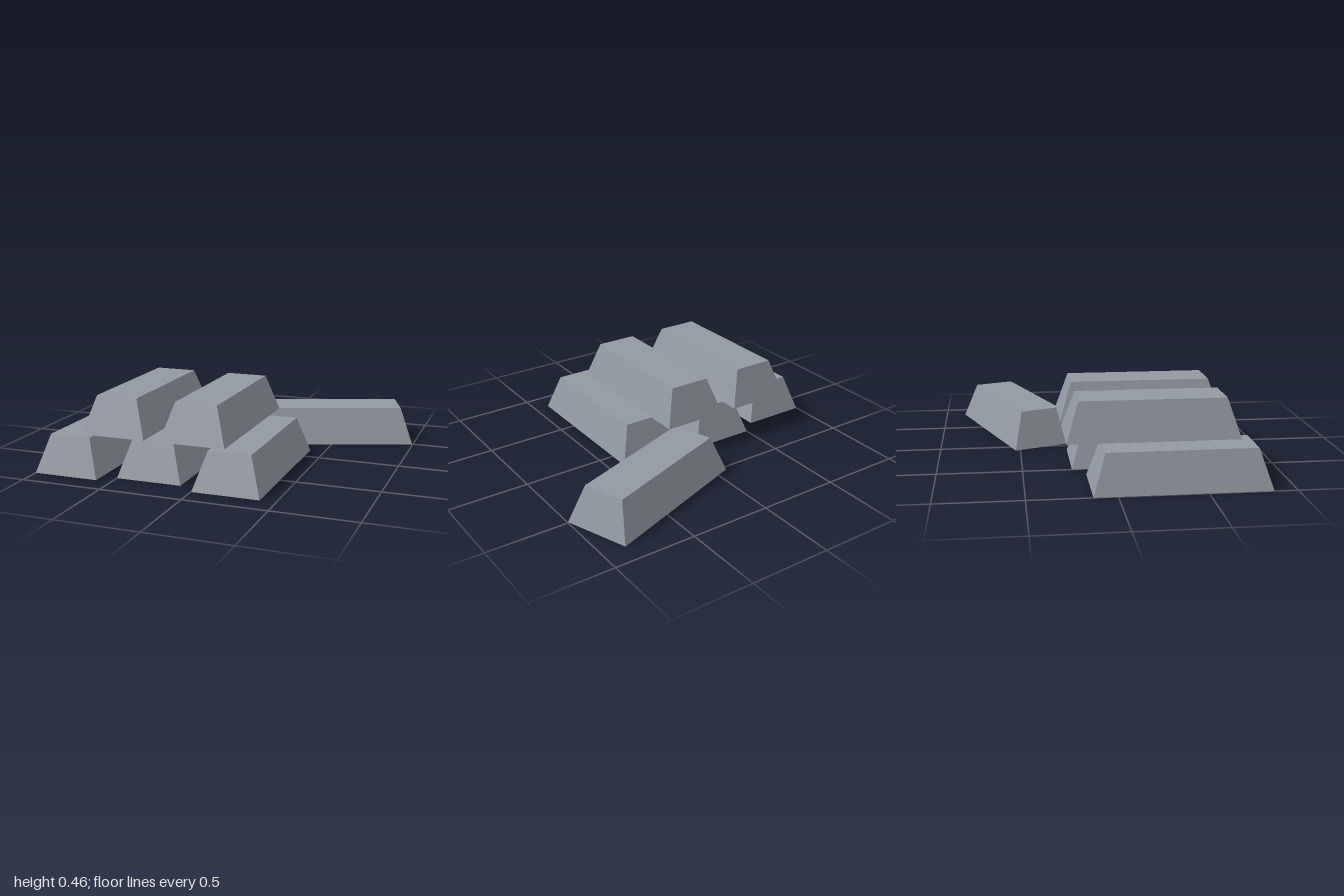
import * as THREE from 'three';

const WIDTH = 0.403, LENGTH = 1.0, HEIGHT = 0.228, INSET = 0.073;

// Tapered bar standing on y = 0, its long axis along z
function ingotGeometry() {
  const geometry = new THREE.BoxGeometry(WIDTH, HEIGHT, LENGTH);
  geometry.translate(0, HEIGHT / 2, 0);
  const p = geometry.attributes.position;
  for (let i = 0; i < p.count; i++) {
    if (p.getY(i) < HEIGHT / 2) continue;
    p.setX(i, p.getX(i) - Math.sign(p.getX(i)) * INSET);
    p.setZ(i, p.getZ(i) - Math.sign(p.getZ(i)) * INSET);
  }
  geometry.computeVertexNormals();
  return geometry;
}

export function createModel() {
  const group = new THREE.Group();
  group.name = 'ingotPile';
  const metal = new THREE.MeshStandardMaterial({ color: 0x9299a1 });
  metal.name = 'greyMetal';
  metal.flatShading = true;
  const geometry = ingotGeometry();

  // name, x, y, z, turn about y in degrees
  const ingots = [
    ['lowerRightIngot', -0.798, 0, 0.365, 0],
    ['lowerMiddleIngot', -0.298, 0, 0.29, 0],
    ['lowerLeftIngot', 0.204, 0, 0.365, 0],
    ['upperRightIngot', -0.549, HEIGHT, 0.24, 0],
    ['upperLeftIngot', -0.047, HEIGHT, 0.24, 0],
    ['looseIngot', 0.458, 0, -0.511, 110],
  ];
  for (const [name, x, y, z, turn] of ingots) {
    const mesh = new THREE.Mesh(geometry, metal);
    mesh.name = name;
    mesh.position.set(x, y, z);
    mesh.rotation.y = THREE.MathUtils.degToRad(turn);
    group.add(mesh);
  }
  return group;
}
